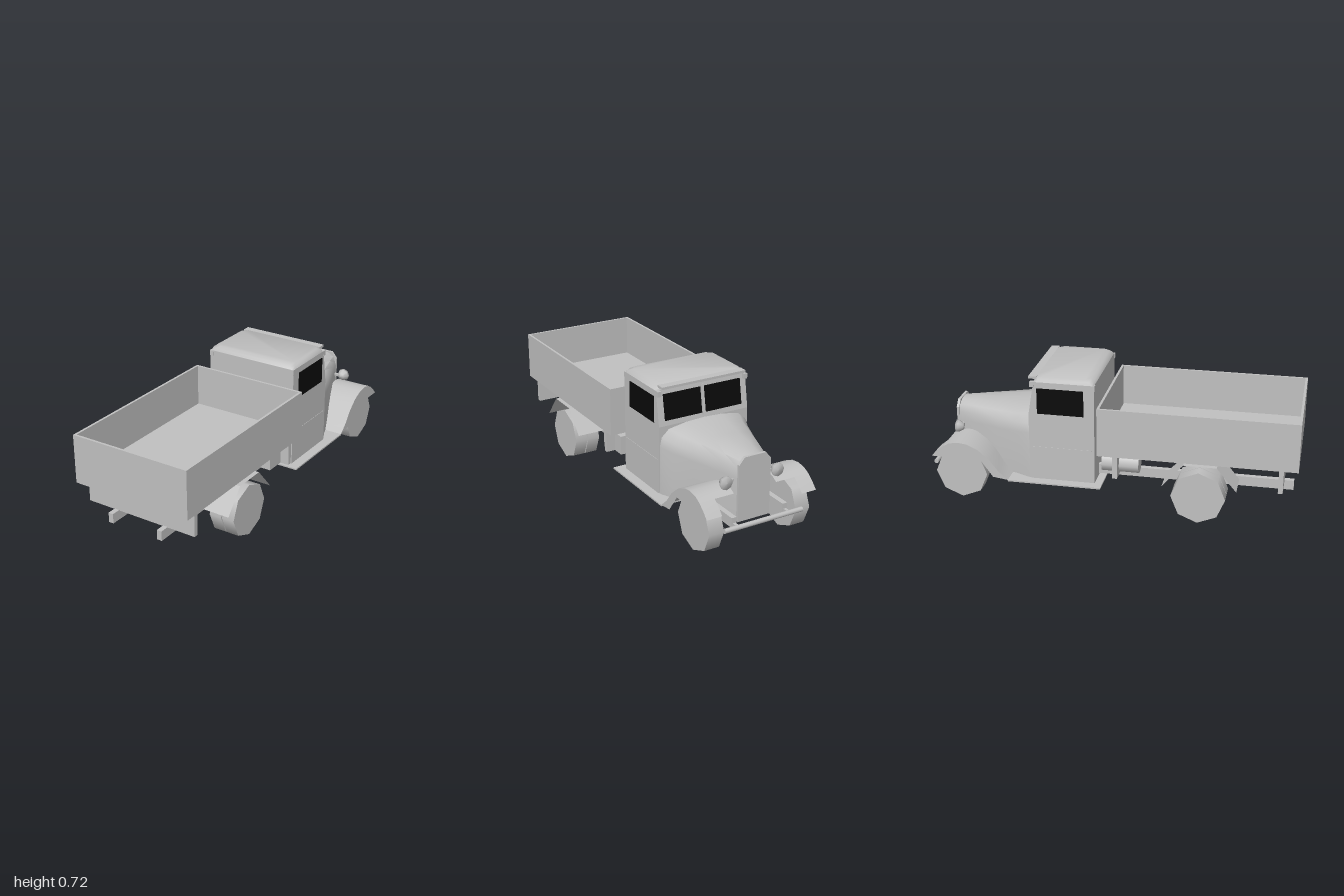
import * as THREE from 'three';
import { toCreasedNormals } from 'three/addons/utils/BufferGeometryUtils.js';

export function createModel() {
  const truck = new THREE.Group();
  truck.name = 'truck';
  const grey = new THREE.MeshStandardMaterial({ color: 0xc0c0c0, side: THREE.DoubleSide });
  grey.name = 'grey paint';
  const black = new THREE.MeshStandardMaterial({ color: 0x0a0a0a });
  black.name = 'black glass';

  const add = (name, geo, mat = grey) => {
    const mesh = new THREE.Mesh(geo, mat);
    mesh.name = name;
    truck.add(mesh);
    return mesh;
  };
  // Box given by its limits on each axis
  const box = (name, [x0, x1], [y0, y1], [z0, z1], mat) => add(name,
    new THREE.BoxGeometry(x1 - x0, y1 - y0, z1 - z0)
      .translate((x0 + x1) / 2, (y0 + y1) / 2, (z0 + z1) / 2), mat);
  // Skin over rings of points; closed rings also get end caps
  const loft = (rings, closed = true, crease = 0.5) => {
    const n = rings[0].length, index = [];
    for (let i = 0; i < rings.length - 1; i++) {
      for (let j = 0; j < (closed ? n : n - 1); j++) {
        const a = i * n + j, b = i * n + (j + 1) % n;
        index.push(a, b, b + n, a, b + n, a + n);
      }
    }
    const last = (rings.length - 1) * n;
    for (let j = 1; closed && j < n - 1; j++) index.push(0, j + 1, j, last, last + j, last + j + 1);
    const geo = new THREE.BufferGeometry();
    geo.setAttribute('position', new THREE.Float32BufferAttribute(rings.flat(2), 3));
    geo.setIndex(index);
    return toCreasedNormals(geo, crease);
  };
  // Outline in the side plane, from [z, y] points
  const sideShape = pts => new THREE.Shape(pts.map(([z, y]) => new THREE.Vector2(-z, y)));

  // Cargo bed: floor and four walls
  box('bedFloor', [-0.34, 0.34], [0.33, 0.365], [-0.05, 1]);
  box('bedFrontWall', [-0.34, 0.34], [0.365, 0.595], [-0.05, -0.037]);
  box('bedTailgate', [-0.34, 0.34], [0.365, 0.595], [0.987, 1]);
  for (const s of [-1, 1]) {
    box('bedSideWall', [s * 0.3335 - 0.0065, s * 0.3335 + 0.0065], [0.365, 0.595], [-0.037, 0.987]);
  }
  box('rearBedSupport', [-0.325, 0.325], [0.197, 0.33], [0.9, 0.925]);
  box('frontBedSupport', [-0.325, 0.325], [0.2, 0.33], [0.03, 0.055]);

  // Cab body with a raked windscreen
  const cab = new THREE.ExtrudeGeometry(sideShape([
    [-0.078, 0.13], [-0.42, 0.13], [-0.435, 0.14], [-0.435, 0.505], [-0.403, 0.692], [-0.078, 0.692],
  ]), { depth: 0.536, bevelEnabled: false });
  add('cabBody', cab.rotateY(Math.PI / 2).translate(-0.268, 0, 0));

  // Roof with softened edges
  const roofRing = (w, y, z0, z1, c) => [
    [w, y, z1 - c], [w, y, z0 + c], [w - c, y, z0], [c - w, y, z0],
    [-w, y, z0 + c], [-w, y, z1 - c], [c - w, y, z1], [w - c, y, z1],
  ];
  add('cabRoof', loft([
    roofRing(0.268, 0.692, -0.403, -0.078, 0.012),
    roofRing(0.26, 0.707, -0.4, -0.085, 0.02),
    roofRing(0.247, 0.718, -0.39, -0.1, 0.03),
  ], true, 0.9));
  box('sunVisor', [-0.25, 0.25], [0.703, 0.716], [-0.435, -0.39]);

  // Windscreen panes and the divider, tilted with the front of the cab
  const tilt = Math.atan2(0.032, 0.187);
  for (const s of [-1, 1]) {
    const pane = add('windscreenPane', new THREE.BoxGeometry(0.22, 0.138, 0.006), black);
    pane.position.set(s * 0.121, 0.6, -0.42);
    pane.rotation.x = tilt;
    box('sideWindow', [s * 0.268 - 0.003, s * 0.268 + 0.003], [0.515, 0.658], [-0.387, -0.135], black);
    box('doorSeam', [s * 0.268 - 0.002, s * 0.268 + 0.002], [0.32, 0.323], [-0.42, -0.095]);
    box('rearCornerBlock', [s * 0.259 - 0.01, s * 0.259 + 0.01], [0.663, 0.692], [-0.095, -0.074]);
    box('frontCornerBlock', [s * 0.259 - 0.01, s * 0.259 + 0.01], [0.663, 0.692], [-0.425, -0.4]);
  }
  const divider = add('windscreenDivider', new THREE.BoxGeometry(0.016, 0.16, 0.012));
  divider.position.set(0, 0.6, -0.421);
  divider.rotation.x = tilt;

  // Engine hood narrowing to the grille: half width, top, bottom and z of each section
  const hoodRing = ([w, t, b, z]) => {
    const half = [[w, b], [w, t - 0.11], [w * 0.96, t - 0.06], [w * 0.8, t - 0.022], [w * 0.4, t - 0.004]];
    return [...half.map(([x, y]) => [-x, y, z]), [0, t, z], ...half.reverse().map(([x, y]) => [x, y, z])];
  };
  add('hood', loft([
    [0.266, 0.508, 0.132, -0.42], [0.26, 0.506, 0.132, -0.45], [0.232, 0.494, 0.132, -0.51],
    [0.185, 0.487, 0.134, -0.64], [0.128, 0.482, 0.136, -0.79], [0.092, 0.474, 0.138, -0.885],
  ].map(hoodRing), true, 0.8));

  // Grille with cut upper corners
  const grille = new THREE.Shape([
    [-0.093, 0.135], [0.093, 0.135], [0.093, 0.44], [0.062, 0.477], [-0.062, 0.477], [-0.093, 0.44],
  ].map(p => new THREE.Vector2(...p)));
  add('grille', new THREE.ExtrudeGeometry(grille, { depth: 0.015, bevelEnabled: false }).translate(0, 0, -0.898));

  // Floor and running boards in one plate
  box('runningBoards', [-0.322, 0.322], [0.126, 0.134], [-0.548, -0.037]);

  const wheel = (name, x, z, w) => add(name,
    new THREE.CylinderGeometry(0.144, 0.144, w, 8).rotateZ(Math.PI / 2).translate(x, 0.144, z));
  const arch = [[-0.548, 0.134], [-0.6, 0.18], [-0.65, 0.245], [-0.71, 0.295], [-0.77, 0.323],
    [-0.82, 0.33], [-0.87, 0.322], [-0.905, 0.303], [-0.94, 0.275], [-0.973, 0.24]];

  for (const s of [-1, 1]) {
    // Wheels, doubled at the rear
    wheel('frontWheel', s * 0.255, -0.815, 0.085);
    wheel('rearInnerWheel', s * 0.245, 0.49, 0.07);
    wheel('rearOuterWheel', s * 0.32, 0.49, 0.07);

    // Sheet fenders; the front ones have an outer lip
    const sheet = (pts, inner, outer, crease) => loft(pts.map(([z, y]) => {
      const xs = [s * inner(z), s * outer].sort((a, b) => a - b);
      return xs.map(x => [x, y, z]);
    }), false, crease);
    add('frontFender', sheet(arch.slice(0, 8), () => 0.125, 0.322, 0.9));
    add('frontFenderTip', sheet(arch.slice(7), () => 0.235, 0.322, 0.9));
    add('frontFenderLip', new THREE.ShapeGeometry(sideShape([...arch, [-0.7, 0.243], [-0.63, 0.145]]))
      .rotateY(Math.PI / 2).translate(s * 0.322, 0, 0));
    add('rearFender', sheet([[0.69, 0.2], [0.585, 0.328], [0.41, 0.328], [0.3, 0.2]], () => 0.2, 0.362, 0.1));

    // Chassis rail
    box('chassisRail', [s * 0.15 - 0.014, s * 0.15 + 0.014], [0.147, 0.2], [-0.95, 0.975]);

    // Headlight bowl, opening forward
    const bowl = [[0, 0], [0.018, 0.004], [0.034, 0.03], [0.036, 0.043], [0, 0.048]];
    add('headlight', new THREE.LatheGeometry(bowl.map(p => new THREE.Vector2(...p)), 8)
      .rotateX(-Math.PI / 2).translate(s * 0.152, 0.353, -0.838));
    box('headlightBracket', [s * 0.115 - 0.025, s * 0.115 + 0.025], [0.345, 0.358], [-0.865, -0.85]);
  }

  // Box on one side of the chassis, round tank on the other
  box('toolBox', [0.165, 0.275], [0.2, 0.305], [-0.04, 0.16]);
  add('roundTank', new THREE.CylinderGeometry(0.052, 0.052, 0.2, 8)
    .rotateX(Math.PI / 2).translate(-0.225, 0.252, 0.06));

  // Front bumper bar
  add('bumper', new THREE.CylinderGeometry(0.013, 0.013, 0.46, 10)
    .rotateZ(Math.PI / 2).translate(0, 0.163, -0.985));
  for (const s of [-1, 1]) {
    box('bumperBracket', [s * 0.15 - 0.008, s * 0.15 + 0.008], [0.155, 0.171], [-0.985, -0.94]);
  }

  return truck;
}
